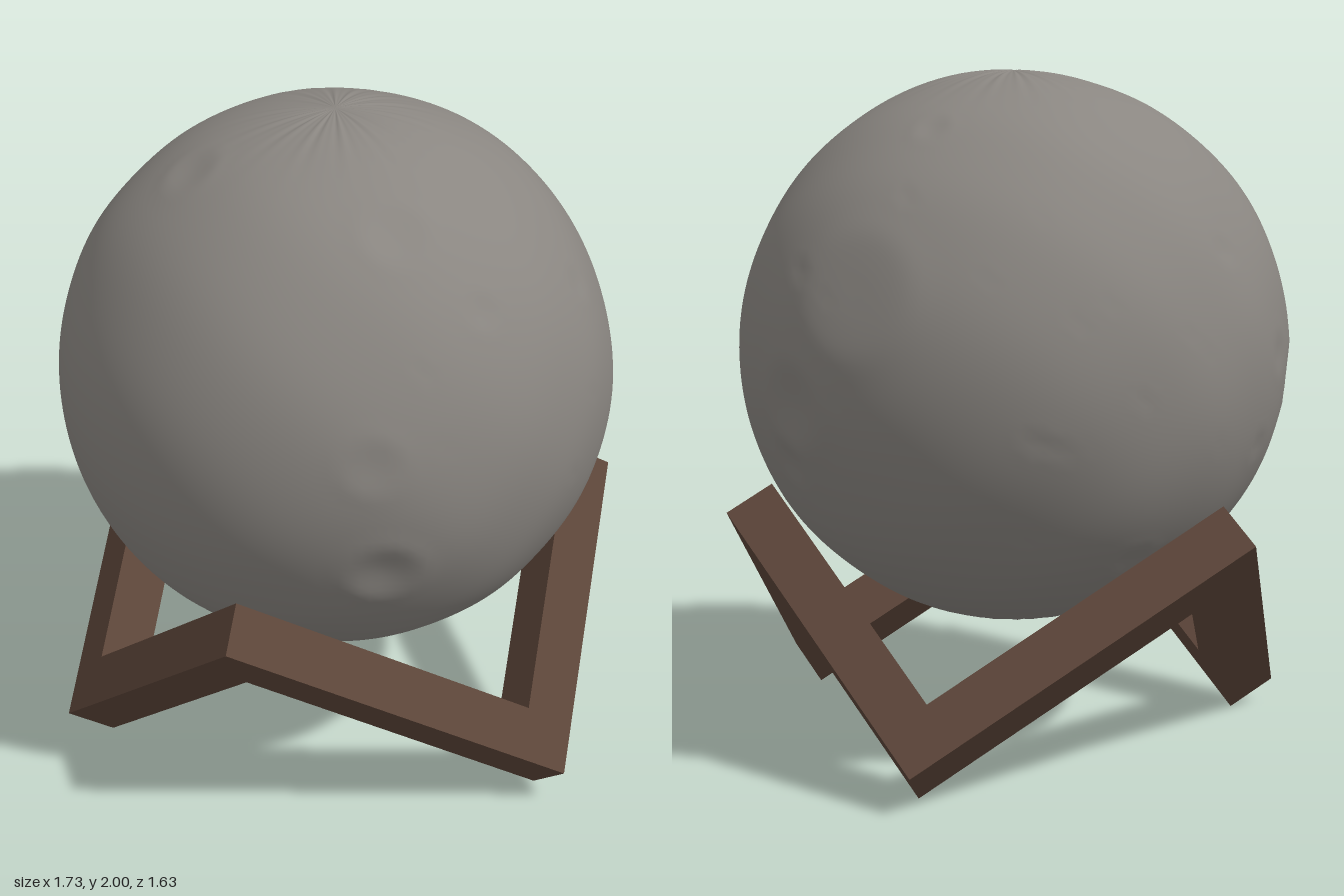
import * as THREE from 'three';
import { mergeVertices } from 'three/addons/utils/BufferGeometryUtils.js';

const stone = new THREE.MeshStandardMaterial({ color: 0x8a8681 });
stone.name = 'moonGrey';
const wood = new THREE.MeshStandardMaterial({ color: 0x5c4539 });
wood.name = 'brownWood';

function seeded(seed) {
  return () => (seed = (seed * 16807) % 2147483647) / 2147483647;
}

// Cratered ball: a sphere whose vertices move along their normals
function createMoon() {
  const R = 0.815;
  const rand = seeded(4217);
  const craters = [
    { dir: new THREE.Vector3(-0.07, -0.31, 0.95), size: 0.13, depth: 0.014 },
    { dir: new THREE.Vector3(0.87, -0.1, -0.36), size: 0.16, depth: 0.014 },
    { dir: new THREE.Vector3(0.75, 0.3, -0.6), size: 0.22, depth: 0.01 },
  ];
  for (let i = 0; i < 45; i++) {
    const y = rand() * 1.7 - 0.85, a = rand() * Math.PI * 2, r = Math.sqrt(1 - y * y);
    const size = 0.03 + 0.1 * rand() ** 3;
    craters.push({ dir: new THREE.Vector3(r * Math.cos(a), y, r * Math.sin(a)), size, depth: size * 0.06 });
  }
  craters.forEach(c => c.dir.normalize());

  let geo = new THREE.SphereGeometry(1, 160, 100);
  geo.deleteAttribute('uv');
  geo.deleteAttribute('normal');
  geo = mergeVertices(geo, 1e-5);
  const pos = geo.attributes.position;
  const v = new THREE.Vector3();
  for (let i = 0; i < pos.count; i++) {
    v.fromBufferAttribute(pos, i).normalize();
    // broad swells
    let h = 0.004 * Math.sin(4 * v.x + 2 * v.y + 1) * Math.cos(5 * v.z - 3 * v.y)
      + 0.002 * Math.sin(11 * v.x - 7 * v.z) * Math.sin(9 * v.y + 4 * v.z);
    // bowls with raised rims
    for (const c of craters) {
      const d = v.distanceTo(c.dir) / c.size;
      if (d < 2) h += c.depth * (0.3 * Math.exp(-(((d - 1) / 0.3) ** 2)) - Math.exp(-((d / 0.65) ** 2)));
    }
    // fine ridges fanning out from both poles
    const ring = Math.hypot(v.x, v.z), a = Math.atan2(v.z, v.x);
    h += 0.012 * ring * Math.exp(-((ring / 0.22) ** 2)) * (Math.sin(23 * a) + Math.sin(37 * a + 1));
    v.multiplyScalar(R + h);
    pos.setXYZ(i, v.x, v.y, v.z);
  }
  geo.computeVertexNormals();
  const moon = new THREE.Mesh(geo, stone);
  moon.name = 'moonBall';
  moon.position.set(-0.015, 1.184, 0);
  return moon;
}

// Zigzag stand: six edges of a box standing on its corner
function createStand() {
  const stand = new THREE.Group();
  stand.name = 'woodenStand';
  const w = 0.157;
  const half = [0.585, 0.505, 0.505];
  const corners = [[1, 1, -1], [1, 1, 1], [-1, 1, 1], [-1, -1, 1], [-1, -1, -1], [1, -1, -1]];
  corners.forEach((from, i) => {
    const to = corners[(i + 1) % 6];
    const size = [w, w, w], centre = [0, 0, 0];
    for (let k = 0; k < 3; k++) {
      if (from[k] === to[k]) {
        centre[k] = from[k] * (half[k] - w / 2);
      } else {
        // each bar stops against the side of the next one
        size[k] = 2 * half[k] - w;
        centre[k] = from[k] * w / 2;
      }
    }
    const bar = new THREE.Mesh(new THREE.BoxGeometry(...size), wood);
    bar.name = 'standBar' + (i + 1);
    bar.position.set(...centre);
    stand.add(bar);
  });
  stand.rotation.set(Math.PI / 4, 0, -Math.PI / 6, 'ZYX');
  stand.position.set(-0.003, 0.404, 0);
  return stand;
}

export function createModel() {
  const model = new THREE.Group();
  model.name = 'moonOnStand';
  model.add(createMoon(), createStand());
  return model;
}
